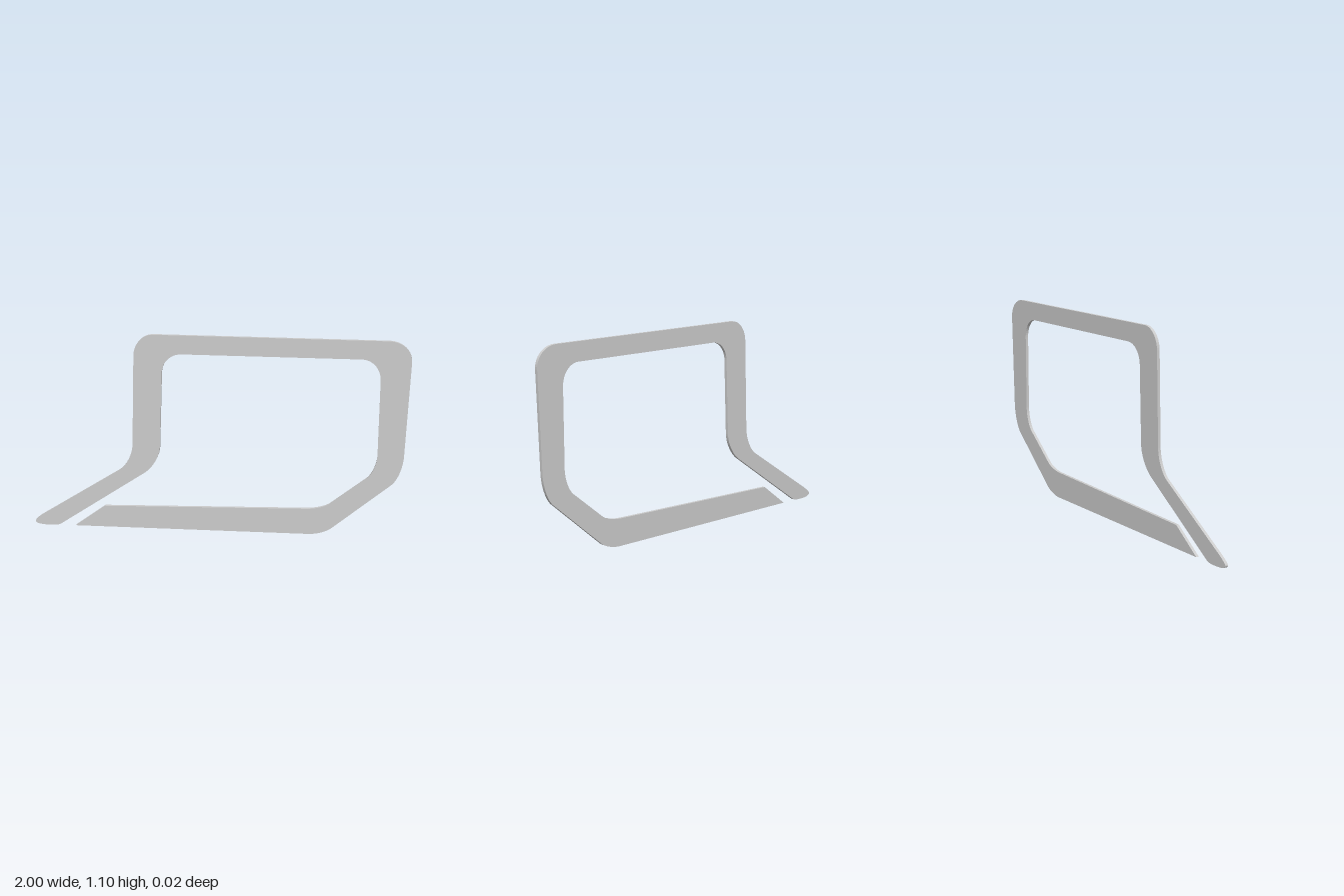
import * as THREE from 'three';

export function createModel() {
  const group = new THREE.Group();
  const depth = 0.016;
  const shape = new THREE.Shape();

  // Straight run to the start of a bend, then a round bend about its sharp corner
  const bend = (ax, ay, cx, cy, bx, by, k = 0.56) => {
    shape.lineTo(ax, ay);
    shape.bezierCurveTo(ax + (cx - ax) * k, ay + (cy - ay) * k,
      bx + (cx - bx) * k, by + (cy - by) * k, bx, by);
  };

  // Inner edge, from the foot of the tail round to the cut end of the lower bar
  shape.moveTo(-0.86, 0.01);
  bend(-0.39, 0.33, -0.31, 0.385, -0.305, 0.48);
  bend(-0.29, 0.89, -0.287, 0.99, -0.19, 0.995);
  bend(0.745, 1.0, 0.843, 1.0, 0.843, 0.89);
  bend(0.843, 0.48, 0.84, 0.39, 0.79, 0.35);
  bend(0.605, 0.2, 0.562, 0.167, 0.48, 0.165);
  shape.lineTo(-0.61, 0.128);
  shape.lineTo(-0.775, 0.005);

  // Outer edge, back to the tail
  bend(0.49, 0.02, 0.568, 0.02, 0.615, 0.06);
  bend(0.92, 0.32, 0.975, 0.367, 0.98, 0.48);
  bend(0.997, 0.99, 1.0, 1.1, 0.88, 1.1);
  bend(-0.33, 1.095, -0.433, 1.095, -0.437, 0.98);
  bend(-0.452, 0.49, -0.456, 0.388, -0.525, 0.34);

  // Rounded tip of the tail
  shape.lineTo(-0.95, 0.066);
  shape.bezierCurveTo(-0.985, 0.042, -1.0, 0.03, -1.0, 0.02);
  shape.bezierCurveTo(-1.0, 0.0, -0.93, 0.0, -0.9, 0.002);
  shape.quadraticCurveTo(-0.875, 0.002, -0.86, 0.01);

  const geometry = new THREE.ExtrudeGeometry(shape, { depth, bevelEnabled: false, curveSegments: 14 });
  geometry.translate(0, 0, -depth / 2);

  const frame = new THREE.Mesh(geometry, new THREE.MeshStandardMaterial({ color: 0xcccccc }));
  frame.name = 'speechBubbleFrame';
  group.add(frame);
  return group;
}
